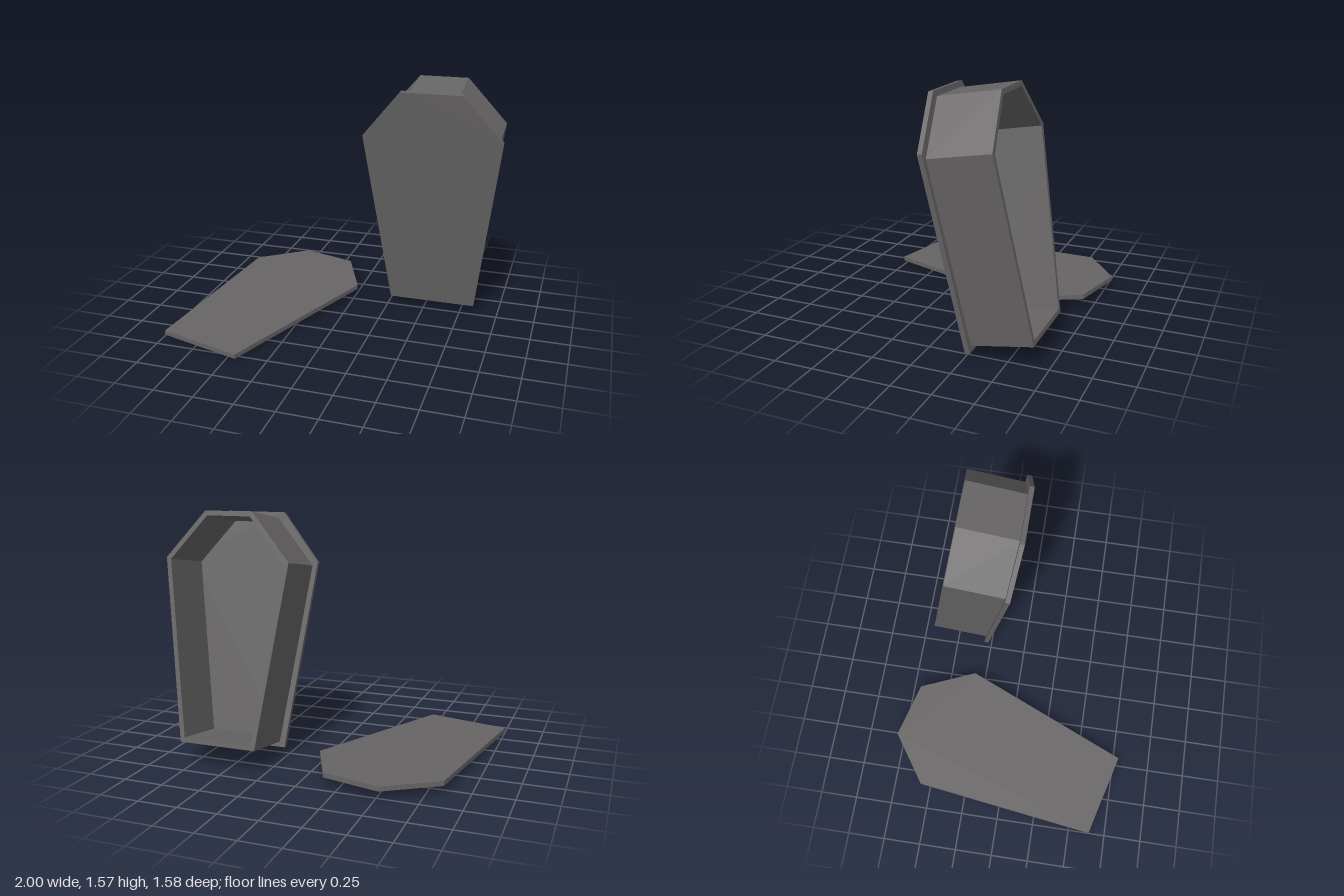
import * as THREE from 'three';

const stone = new THREE.MeshStandardMaterial({ color: 0x666465 });
stone.name = 'dark grey';

// Six-sided outline: bottom, shoulders and top as half-widths and heights
function outline(Type, bottom, shoulder, top, y0, leftY, rightY, y1) {
  const path = new Type();
  path.moveTo(-bottom, y0);
  path.lineTo(bottom, y0);
  path.lineTo(shoulder, rightY);
  path.lineTo(top, y1);
  path.lineTo(-top, y1);
  path.lineTo(-shoulder, leftY);
  path.closePath();
  return path;
}

function extrude(shape, depth, name) {
  const geometry = new THREE.ExtrudeGeometry(shape, { depth, bevelEnabled: false });
  const mesh = new THREE.Mesh(geometry, stone);
  mesh.name = name;
  return mesh;
}

export function createModel() {
  const model = new THREE.Group();
  model.name = 'coffin';
  const thick = 0.03, wallDepth = 0.385;

  // Leaning coffin: base panel facing forward, open side facing back
  const body = new THREE.Group();
  body.name = 'coffinBody';
  const panel = extrude(
    outline(THREE.Shape, 0.287, 0.447, 0.195, 0, 1.202, 1.214, 1.511), thick, 'basePanel');
  panel.position.z = -thick;

  // Hollow ring of walls behind the panel
  const ring = outline(THREE.Shape, 0.253, 0.413, 0.158, 0.035, 1.18, 1.18, 1.476);
  ring.holes.push(outline(THREE.Path, 0.227, 0.382, 0.144, 0.065, 1.17, 1.17, 1.446));
  const walls = extrude(ring, wallDepth, 'walls');
  walls.position.z = -thick - wallDepth;
  body.add(panel, walls);
  body.position.set(0.553, 0.05, -0.27);
  body.rotation.x = THREE.MathUtils.degToRad(9.55);

  // Loose lid lying on the ground, turned and slightly raised at the far end
  const lid = extrude(
    outline(THREE.Shape, 0.285, 0.445, 0.192, 0, 1.204, 1.19, 1.507), thick, 'lid');
  lid.geometry.rotateX(-Math.PI / 2);
  lid.geometry.rotateY(THREE.MathUtils.degToRad(-14.8));
  lid.position.set(-0.725, 0.003, 0.7125);
  lid.rotation.x = THREE.MathUtils.degToRad(2.2);

  model.add(body, lid);
  return model;
}
